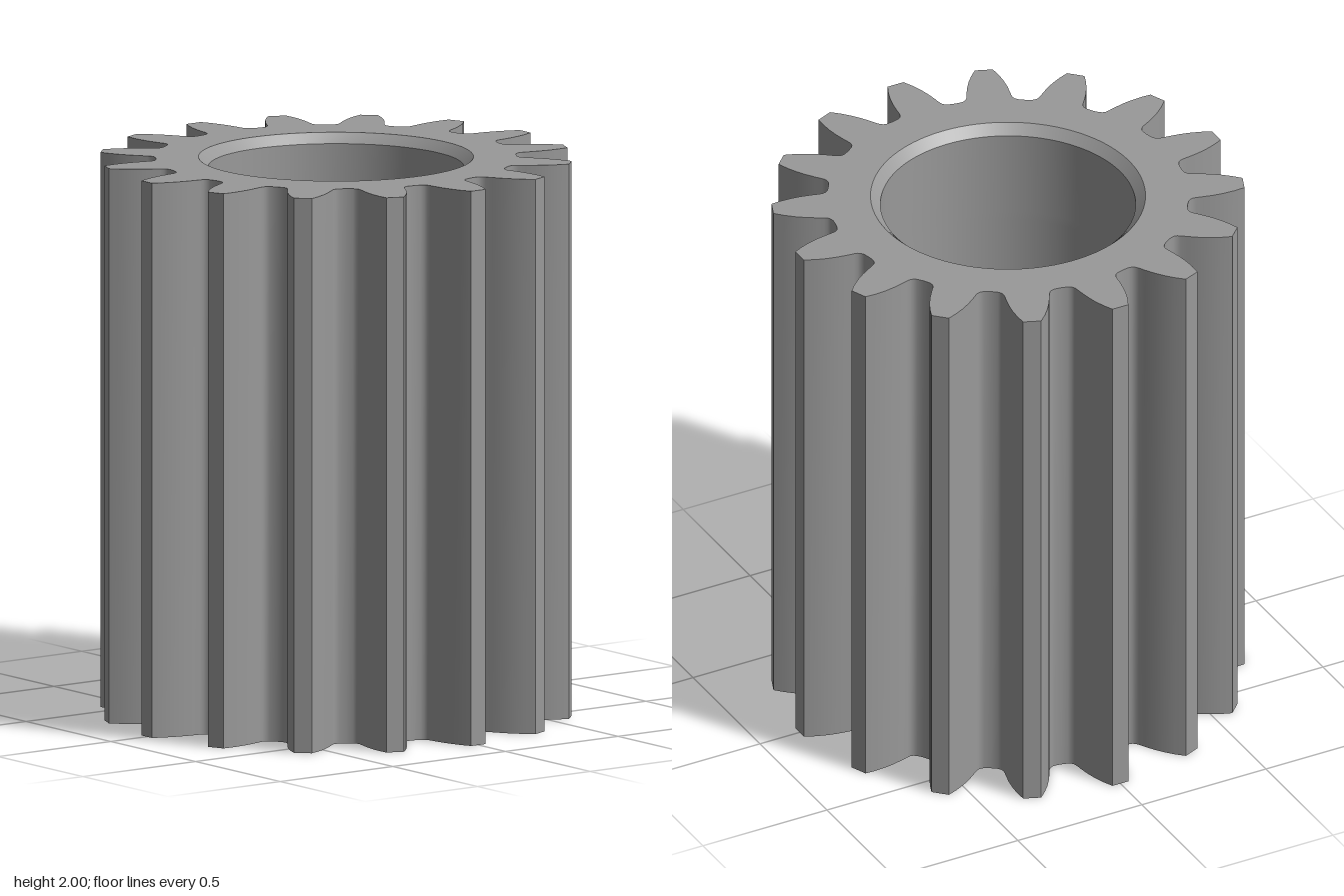
import * as THREE from 'three';
import { toCreasedNormals } from 'three/addons/utils/BufferGeometryUtils.js';

const HEIGHT = 2, TEETH = 16, BORE = 0.453;

// Point at radius r and angle a, measured from the back (-z) towards +x
const polar = (r, a, y) => new THREE.Vector3(r * Math.sin(a), y, -r * Math.cos(a));

// Closed gear outline: one flank is listed tip to root and mirrored for each tooth
function gearLoop(y) {
  const flank = [ // [half width, distance from the axis]
    [0.032, 0.84], [0.049, 0.803], [0.062, 0.765], [0.071, 0.728], [0.077, 0.69],
    [0.08, 0.664], [0.083, 0.651], [0.09, 0.641], [0.101, 0.634],
  ];
  const half = flank.map(([w, d]) => [Math.atan2(w, d), Math.hypot(w, d)]);
  const tooth = [...half.map(([a, r]) => [-a, r]).reverse(), ...half, [Math.PI / TEETH, 0.64]];
  const points = [];
  for (let i = 0; i < TEETH; i++) {
    for (const [a, r] of tooth) points.push(polar(r, a + (i * 2 * Math.PI) / TEETH, y));
  }
  return points;
}

// Circle whose back is cut by a chord at distance `flat`; `cut: false` keeps it round
function boreLoop(r, flat, y, cut = true) {
  const a0 = Math.acos(flat / r), chordSteps = 24, arcSteps = 96, points = [];
  for (let i = 0; i < chordSteps; i++) {
    const a = -a0 + (2 * a0 * i) / chordSteps;
    points.push(polar(cut ? flat / Math.cos(a) : r, a, y));
  }
  for (let i = 0; i < arcSteps; i++) {
    points.push(polar(r, a0 + ((2 * Math.PI - 2 * a0) * i) / arcSteps, y));
  }
  return points;
}

// Skin between successive loops; upward order faces the axis, downward order faces out
function loft(loops) {
  const positions = [];
  const triangle = new THREE.Triangle();
  const add = (a, b, c) => {
    if (triangle.set(a, b, c).getArea() > 1e-9) {
      for (const p of [a, b, c]) positions.push(p.x, p.y, p.z);
    }
  };
  for (let k = 0; k < loops.length - 1; k++) {
    const p = loops[k], q = loops[k + 1];
    for (let i = 0; i < p.length; i++) {
      const j = (i + 1) % p.length;
      add(p[i], p[j], q[j]);
      add(p[i], q[j], q[i]);
    }
  }
  const geometry = new THREE.BufferGeometry();
  geometry.setAttribute('position', new THREE.Float32BufferAttribute(positions, 3));
  return toCreasedNormals(geometry, Math.PI / 6);
}

// Flat end face with a hole, facing up or down
function cap(outer, hole, y, side) {
  const flatten = (loop) => loop.map((p) => new THREE.Vector2(p.x, -side * p.z));
  const shape = new THREE.Shape(flatten(outer));
  shape.holes.push(new THREE.Path(flatten(hole)));
  return new THREE.ShapeGeometry(shape).rotateX((-side * Math.PI) / 2).translate(0, y, 0);
}

export function createModel() {
  const group = new THREE.Group();
  group.name = 'pinionGear';
  const steel = new THREE.MeshStandardMaterial({ color: 0x999999 });
  steel.name = 'greySteel';
  const add = (name, geometry) => {
    const mesh = new THREE.Mesh(geometry, steel);
    mesh.name = name;
    group.add(mesh);
  };

  const topHole = boreLoop(0.488, 0.405, HEIGHT, false);
  const bottomHole = boreLoop(0.538, 0.455, 0);

  // Toothed outside
  add('teeth', loft([gearLoop(HEIGHT), gearLoop(0)]));

  // End faces
  add('topFace', cap(gearLoop(HEIGHT), topHole, HEIGHT, 1));
  add('bottomFace', cap(gearLoop(0), bottomHole, 0, -1));

  // Bore: wide bottom chamfer, flat-sided shaft hole, bevelled ledge, round upper hole, top chamfer
  add('bore', loft([
    bottomHole,
    boreLoop(BORE, 0.37, 0.085),
    boreLoop(BORE, 0.37, 1.615),
    boreLoop(BORE, 0.405, 1.65),
    boreLoop(BORE, 0.405, 1.65, false),
    boreLoop(BORE, 0.405, HEIGHT - 0.035, false),
    topHole,
  ]));
  return group;
}
